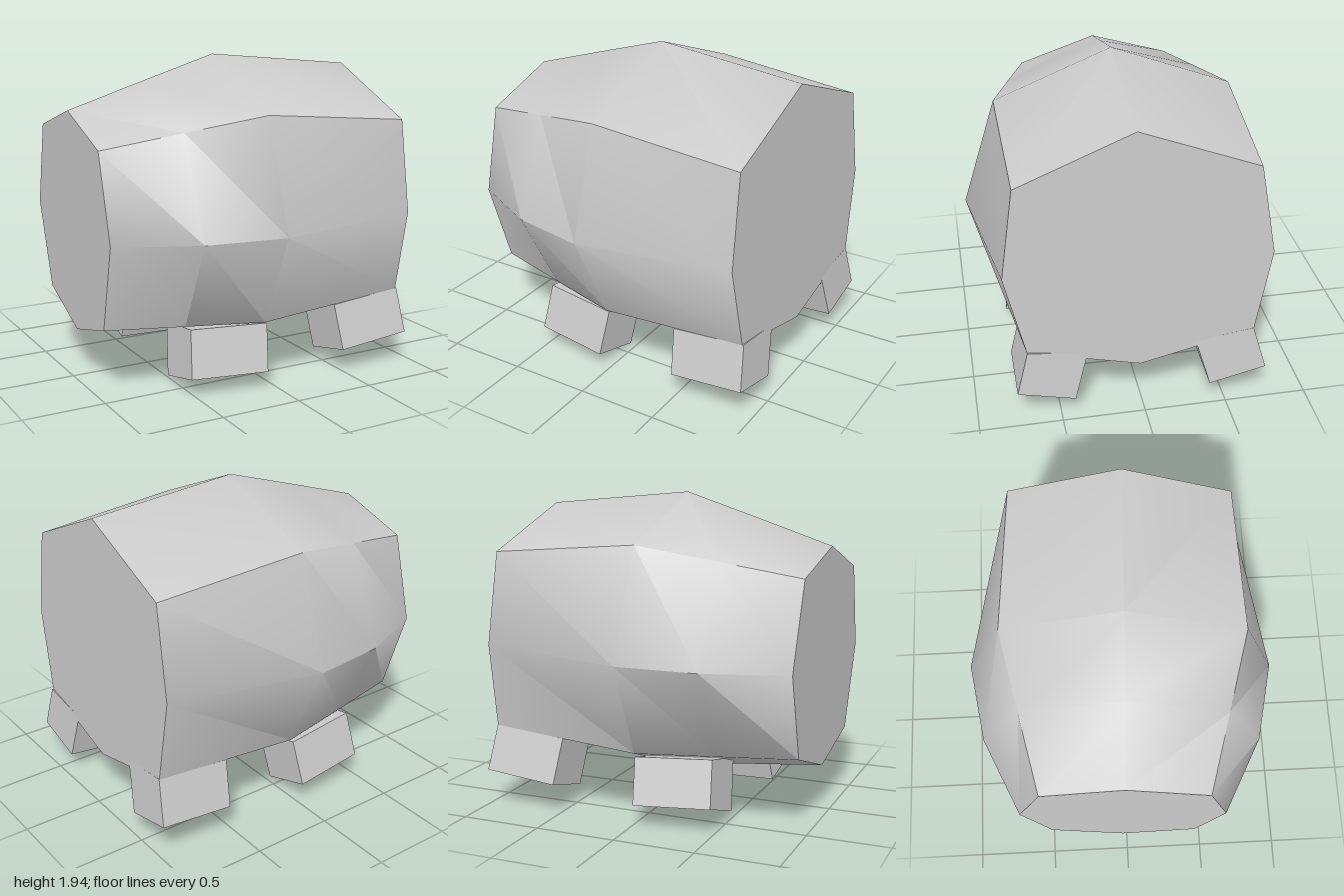
import * as THREE from 'three';
import { toCreasedNormals } from 'three/addons/utils/BufferGeometryUtils.js';

const material = new THREE.MeshStandardMaterial({ color: 0xcccccc });

function buildMesh(points, faces, name, crease) {
  const geometry = new THREE.BufferGeometry();
  geometry.setAttribute('position', new THREE.Float32BufferAttribute(points.flat(), 3));
  geometry.setIndex(faces.flat());
  const mesh = new THREE.Mesh(toCreasedNormals(geometry, crease), material);
  mesh.name = name;
  return mesh;
}

// Eight-sided barrel lying along x; each section is a loop of [z, y] running
// top, upper front, front, lower front, bottom, lower back, back, upper back.
function createBody() {
  const endA = [[-0.02, 1.64], [0.47, 1.47], [0.6, 0.95], [0.44, 0.42],
    [-0.03, 0.29], [-0.49, 0.45], [-0.66, 0.98], [-0.51, 1.5]];
  const middle = [[0.02, 1.94], [0.74, 1.64], [0.95, 0.97], [0.67, 0.39],
    [-0.01, 0.19], [-0.68, 0.43], [-0.95, 1.01], [-0.71, 1.67]];
  const endB = [[0.05, 1.85], [0.73, 1.555], [0.81, 0.99], [0.69, 0.47],
    [0.02, 0.32], [-0.66, 0.5], [-0.75, 1.03], [-0.65, 1.59]];
  // Between the narrow end and the middle only the sides bulge further.
  const bulge = endA.map(([z, y], i) => [(z + middle[i][0]) / 2, (y + middle[i][1]) / 2]);
  bulge[2][0] = 0.845;
  bulge[6][0] = -0.875;

  const sections = [[-0.97, endA], [-0.5, bulge], [-0.02, middle], [0.93, endB]];
  const points = [];
  for (const [x, loop] of sections) {
    // The whole barrel is turned and tilted very slightly.
    for (const [z, y] of loop) points.push([x - 0.036 * z - 0.02 * (y - 1), y, z]);
  }
  const faces = [];
  for (let s = 0; s < 3; s++) {
    for (let i = 0; i < 8; i++) {
      const a = s * 8 + i, b = s * 8 + (i + 1) % 8;
      faces.push([a, b, b + 8, a, b + 8, a + 8]);
    }
  }
  // Flat ends
  for (let i = 1; i < 7; i++) {
    faces.push([0, i + 1, i], [24, 24 + i, 25 + i]);
  }
  return buildMesh(points, faces, 'body', THREE.MathUtils.degToRad(46.5));
}

// Slanted block: four sole corners (inner -x, inner +x, outer +x, outer -x)
// raised along a vector into the body.
function createLeg(name, sole, rise) {
  const top = sole.map((p, i) => {
    const k = i < 2 ? 1.12 : 1;
    return p.map((v, axis) => v + rise[axis] * k);
  });
  const faces = [[0, 1, 2, 0, 2, 3], [4, 6, 5, 4, 7, 6]];
  for (let i = 0; i < 4; i++) {
    const j = (i + 1) % 4;
    faces.push([i, j + 4, j, i, i + 4, j + 4]);
  }
  // Legs on the back side run the other way round, so flip their corners.
  if (sole[2][2] < 0) faces.forEach((f) => f.reverse());
  return buildMesh([...sole, ...top], faces, name, 0.3);
}

export function createModel() {
  const model = new THREE.Group();
  model.name = 'barrelOnLegs';
  model.add(createBody());

  model.add(createLeg('frontEndLeg',
    [[0.49, 0.07, 0.41], [0.955, 0.12, 0.415], [0.95, 0.2, 0.76], [0.48, 0.155, 0.755]],
    [-0.025, 0.275, -0.07]));
  model.add(createLeg('frontMiddleLeg',
    [[-0.52, 0.035, 0.34], [-0.045, 0.005, 0.4], [-0.05, 0.105, 0.74], [-0.53, 0.12, 0.68]],
    [0.03, 0.28, -0.07]));
  model.add(createLeg('backEndLeg',
    [[0.52, 0.1, -0.42], [0.985, 0.14, -0.4], [0.995, 0.23, -0.74], [0.53, 0.19, -0.75]],
    [-0.03, 0.275, 0.08]));
  model.add(createLeg('backMiddleLeg',
    [[-0.5, 0.055, -0.4], [-0.02, 0.025, -0.44], [-0.015, 0.14, -0.77], [-0.49, 0.165, -0.73]],
    [0.02, 0.275, 0.08]));
  return model;
}
